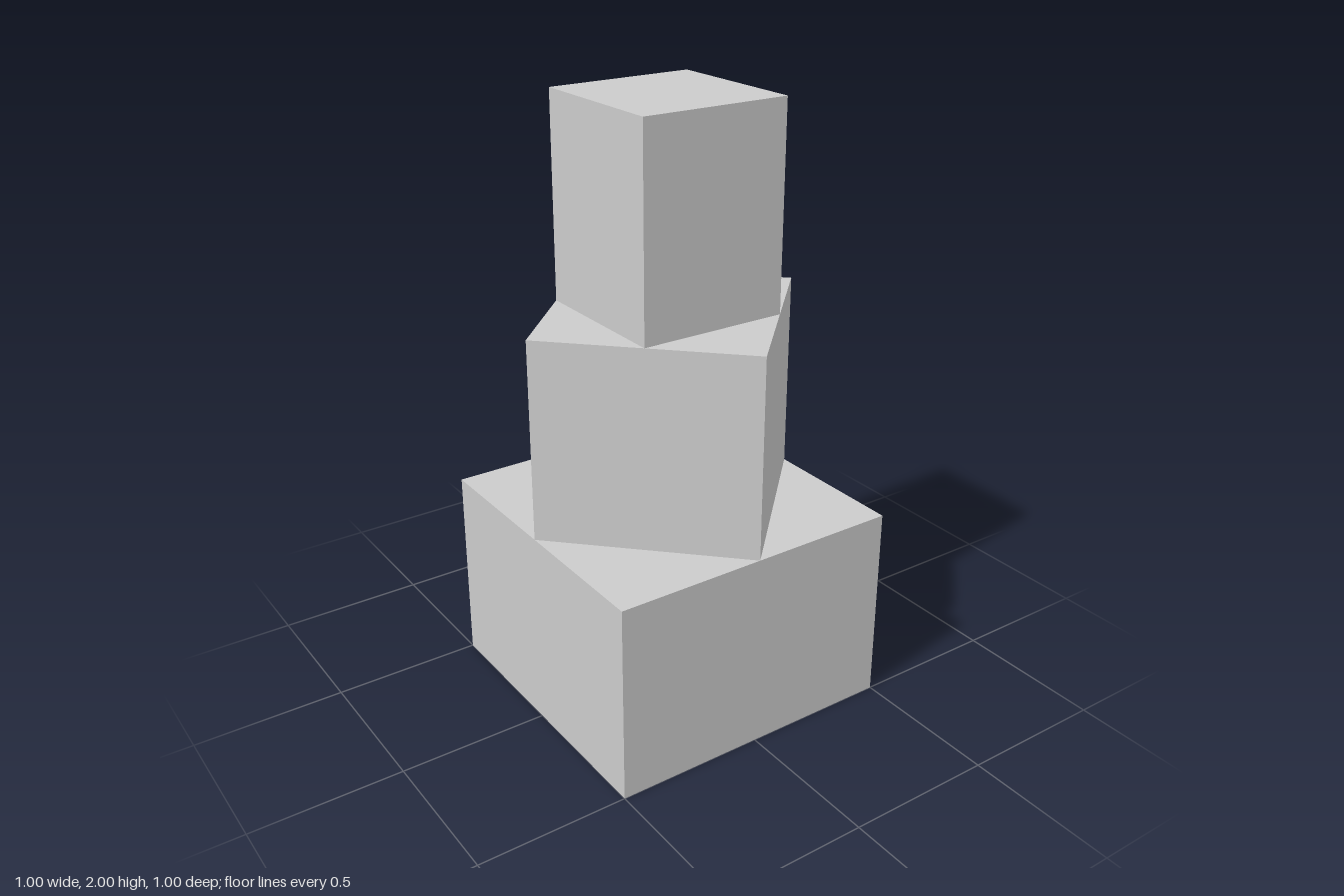
import * as THREE from 'three';

export function createModel() {
  const group = new THREE.Group();
  const material = new THREE.MeshStandardMaterial({ color: 0xcccccc, flatShading: true });
  const height = 2 / 3;

  // Each tier is turned 45 degrees and shrunk so its corners touch the sides of the tier below
  ['bottomTier', 'middleTier', 'topTier'].forEach((name, i) => {
    const width = Math.pow(Math.SQRT1_2, i);
    const tier = new THREE.Mesh(new THREE.BoxGeometry(width, height, width), material);
    tier.name = name;
    tier.position.y = height * (i + 0.5);
    tier.rotation.y = (i % 2) * Math.PI / 4;
    group.add(tier);
  });

  return group;
}
